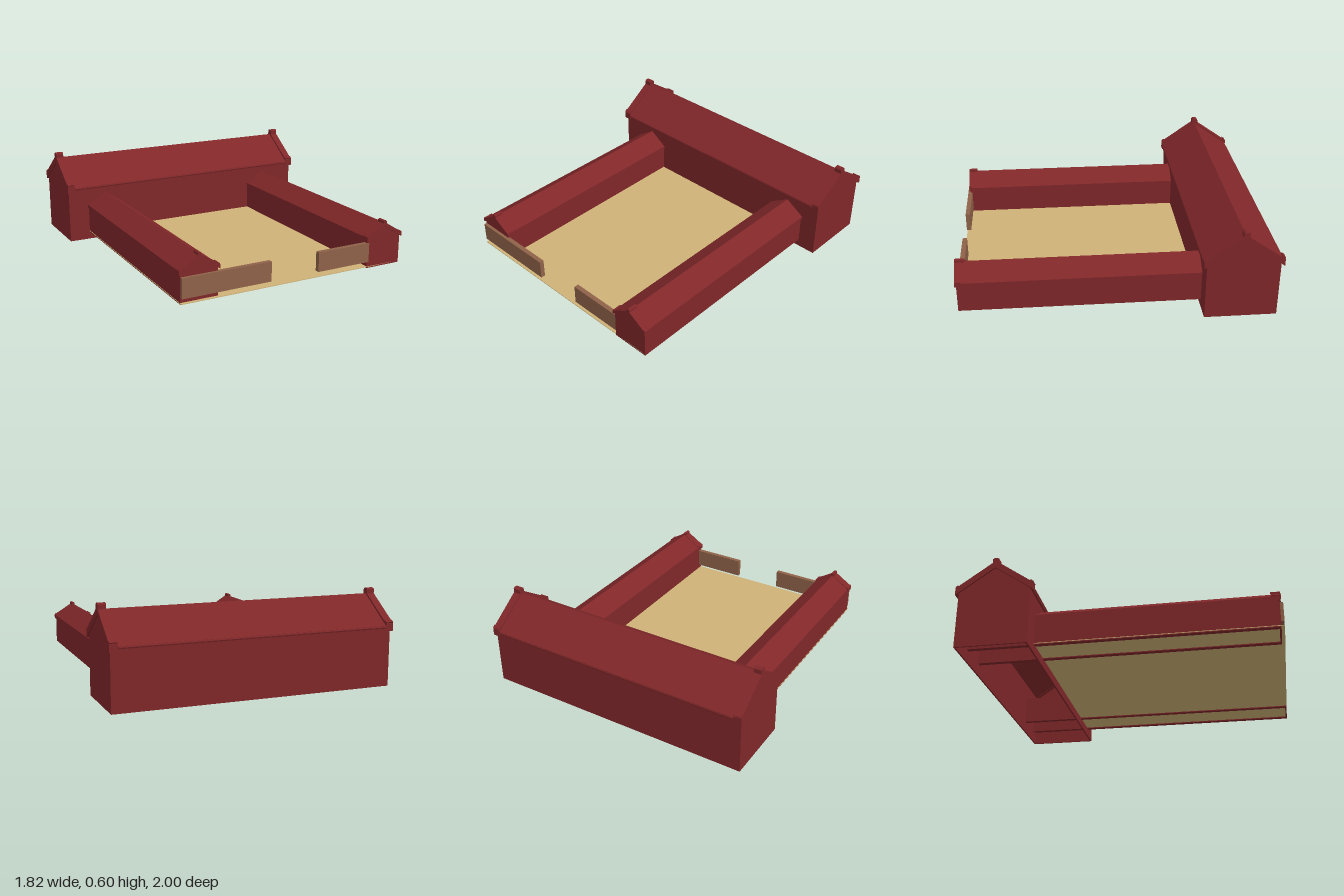
import * as THREE from 'three';

const red = new THREE.MeshStandardMaterial({ color: 0x802729, flatShading: true });
const sand = new THREE.MeshStandardMaterial({ color: 0xcfb277, flatShading: true, side: THREE.DoubleSide });
const brown = new THREE.MeshStandardMaterial({ color: 0x8f6248, flatShading: true });

function add(parent, name, geometry, material = red, x = 0, y = 0, z = 0) {
  const mesh = new THREE.Mesh(geometry, material);
  mesh.name = name;
  mesh.position.set(x, y, z);
  parent.add(mesh);
  return mesh;
}

// Extrude a cross-section along z, from z0 to z1
function extrude(points, z0, z1) {
  const shape = new THREE.Shape(points.map(([x, y]) => new THREE.Vector2(x, y)));
  return new THREE.ExtrudeGeometry(shape, { depth: z1 - z0, bevelEnabled: false }).translate(0, 0, z0);
}

// Bent roof band: half-width w, top heights at eave and peak, vertical thickness t
const chevron = (w, eave, peak, t) => [
  [-w, eave - t], [0, peak - t], [w, eave - t], [w, eave], [0, peak], [-w, eave],
];

// Hollow gabled hall running along z, open underneath
function hall(name, o) {
  const g = new THREE.Group();
  g.name = name;
  const { w, base, eave, peak, t, z0, z1 } = o;
  for (const s of [-1, 1]) {
    add(g, 'sideWall', new THREE.BoxGeometry(t, eave - base, z1 - z0), red,
      s * (w - t / 2), (eave + base) / 2, (z0 + z1) / 2);
  }
  const gable = [[-w, base], [w, base], [w, eave], [0, peak], [-w, eave]];
  const thin = 0.01;
  add(g, 'gableWall', extrude(gable, z1 - thin, z1));
  if (o.bothEnds) add(g, 'gableWall', extrude(gable, z0, z0 + thin));

  // Roof slab with raised verges and a small ridge cap at the exposed ends
  const r = o.roof;
  add(g, 'roof', extrude(chevron(r.w, r.eave, r.peak, r.t), r.z0, r.z1));
  const ends = [[r.z1 + 0.004 - r.verge, r.z1 + 0.004]];
  if (o.bothEnds) ends.push([r.z0 - 0.004, r.z0 - 0.004 + r.verge]);
  for (const [a, b] of ends) {
    add(g, 'verge', extrude(chevron(r.w + 0.003, r.eave + r.lift, r.peak + r.lift, r.t + r.lift + 0.005), a, b));
    const c = r.cap;
    add(g, 'ridgeCap', extrude([
      [-c, r.peak - 0.01], [c, r.peak - 0.01], [c, r.top - c * 0.4],
      [c * 0.5, r.top], [-c * 0.5, r.top], [-c, r.top - c * 0.4],
    ], a, b));
    // Turned-up tips at the foot of each verge
    for (const s of [-1, 1]) {
      add(g, 'vergeFoot', new THREE.BoxGeometry(c, c, b - a), red,
        s * (r.w - c * 0.5), r.eave + r.lift + c * 0.3, (a + b) / 2).rotation.z = -s * 0.6;
    }
  }
  return g;
}

export function createModel() {
  const model = new THREE.Group();
  model.name = 'courtyardFarm';

  // Tall barn across the back
  const barn = hall('barn', {
    w: 0.2275, base: 0, eave: 0.368, peak: 0.535, t: 0.01, z0: -0.9, z1: 0.9, bothEnds: true,
    roof: { w: 0.244, eave: 0.387, peak: 0.56, t: 0.028, z0: -0.906, z1: 0.906,
      verge: 0.05, lift: 0.014, cap: 0.02, top: 0.595 },
  });
  barn.rotation.y = Math.PI / 2;
  barn.position.z = -0.7525;
  model.add(barn);

  // Gutters under the barn eaves
  for (const s of [-1, 1]) {
    const gutter = add(barn, 'gutter', new THREE.CylinderGeometry(0.011, 0.011, 1.71, 8), red, s * 0.2365, 0.378, 0);
    gutter.rotation.x = Math.PI / 2;
  }

  // Low side wings
  for (const [name, x, w, front] of [['leftWing', 0.651, 0.124, 0.985], ['rightWing', -0.637, 0.121, 0.965]]) {
    const wing = hall(name, {
      w, base: 0.05, eave: 0.236, peak: 0.318, t: 0.03, z0: -0.95, z1: front, bothEnds: false,
      roof: { w: w + 0.006, eave: 0.25, peak: 0.332, t: 0.018, z0: -0.56, z1: front + 0.006,
        verge: 0.06, lift: 0.003, cap: 0.011, top: 0.347 },
    });
    wing.position.x = x;
    model.add(wing);
  }

  // Yard floor
  add(model, 'yard', new THREE.BoxGeometry(1.52, 0.004, 1.51), sand, 0, 0.058, 0.23);

  // Front fence panels either side of the entrance
  for (const [x0, x1] of [[-0.755, -0.17], [0.163, 0.54]]) {
    add(model, 'fence', new THREE.BoxGeometry(x1 - x0, 0.125, 0.03), brown, (x0 + x1) / 2, 0.151, 0.97);
  }
  return model;
}
